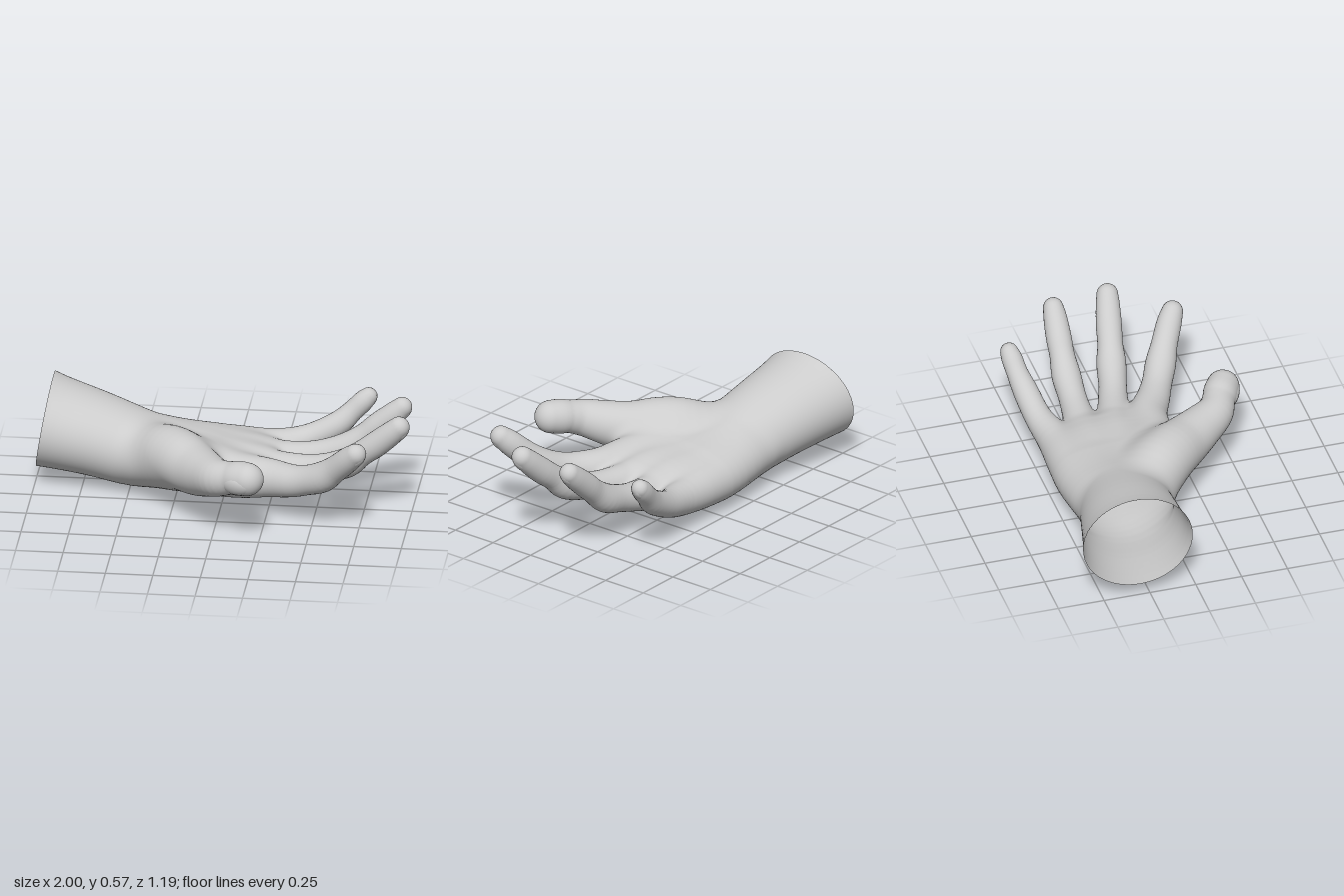
import * as THREE from 'three';

// Each limb is a chain of [x, y, z, radius] joints; neighbouring limbs melt together.
const FINGERS = {
  littleFinger: [
    [-0.42, 0.18, -0.32, 0.1], [-0.18, 0.162, -0.365, 0.118], [0.02, 0.16, -0.378, 0.115], [0.24, 0.172, -0.397, 0.093],
    [0.4, 0.208, -0.437, 0.072], [0.55, 0.28, -0.463, 0.066], [0.63, 0.35, -0.485, 0.056], [0.685, 0.404, -0.497, 0.055],
    [0.715, 0.433, -0.504, 0.047]],
  ringFinger: [
    [-0.42, 0.18, -0.25, 0.1], [-0.15, 0.162, -0.26, 0.126], [0.1, 0.166, -0.245, 0.117], [0.27, 0.173, -0.235, 0.096],
    [0.42, 0.197, -0.225, 0.078], [0.53, 0.226, -0.219, 0.073], [0.64, 0.266, -0.214, 0.077], [0.73, 0.335, -0.21, 0.066],
    [0.8, 0.398, -0.207, 0.067], [0.88, 0.467, -0.202, 0.062], [0.926, 0.51, -0.2, 0.053]],
  middleFinger: [
    [-0.42, 0.19, -0.19, 0.1], [-0.15, 0.176, -0.13, 0.126], [0.1, 0.181, -0.085, 0.117], [0.27, 0.188, -0.06, 0.097],
    [0.42, 0.207, -0.025, 0.08], [0.54, 0.236, 0.008, 0.074], [0.66, 0.28, 0.037, 0.078], [0.74, 0.345, 0.055, 0.067],
    [0.82, 0.409, 0.072, 0.068], [0.9, 0.481, 0.09, 0.063], [0.943, 0.523, 0.1, 0.056]],
  indexFinger: [
    [-0.42, 0.2, -0.14, 0.1], [-0.15, 0.211, -0.01, 0.131], [0.08, 0.202, 0.073, 0.12], [0.25, 0.21, 0.112, 0.103],
    [0.38, 0.228, 0.183, 0.087], [0.47, 0.255, 0.23, 0.079], [0.56, 0.296, 0.275, 0.081], [0.63, 0.36, 0.315, 0.07],
    [0.705, 0.438, 0.364, 0.066], [0.748, 0.485, 0.396, 0.056]],
  thumb: [
    [-0.44, 0.225, -0.13, 0.12], [-0.3, 0.265, -0.01, 0.155], [-0.21, 0.281, 0.087, 0.153], [-0.12, 0.278, 0.195, 0.137],
    [-0.05, 0.295, 0.3, 0.118], [0.022, 0.322, 0.407, 0.098], [0.1, 0.345, 0.454, 0.087], [0.145, 0.355, 0.478, 0.091],
    [0.19, 0.362, 0.504, 0.087]],
};
const FOREARM = [
  [-1.2, 0.365, -0.322, 0.283], [-0.96, 0.311, -0.3, 0.241], [-0.7, 0.259, -0.264, 0.216],
  [-0.47, 0.204, -0.23, 0.197], [-0.33, 0.188, -0.235, 0.172], [-0.15, 0.177, -0.24, 0.12]];
const PALM = [[-0.44, 0.19, -0.21, 0.1], [-0.28, 0.182, -0.2, 0.122], [-0.1, 0.176, -0.19, 0.124], [0.1, 0.181, -0.165, 0.115],
  [0.2, 0.187, -0.15, 0.092]];

// Smooth a chain and turn it into tapered segments; wide flattens it across z
function makeLimb(joints, wide = 1) {
  const path = new THREE.CatmullRomCurve3(joints.map(j => new THREE.Vector3(j[0], j[1], j[2] / wide)), false, 'catmullrom');
  const girth = new THREE.CatmullRomCurve3(joints.map(j => new THREE.Vector3(j[3], 0, 0)), false, 'catmullrom');
  const n = (joints.length - 1) * 4;
  const segments = [];
  for (let i = 0; i < n; i++) {
    const a = path.getPoint(i / n), d = path.getPoint((i + 1) / n).sub(a);
    const ra = girth.getPoint(i / n).x, dr = girth.getPoint((i + 1) / n).x - ra;
    const len2 = d.lengthSq();
    const lean = dr / Math.sqrt(Math.max(1e-8, len2 - dr * dr)) / Math.sqrt(len2);
    segments.push({ ax: a.x, ay: a.y, az: a.z, dx: d.x, dy: d.y, dz: d.z, len2, r: ra, dr, lean });
  }
  return { segments, wide };
}

// Distance to the nearest tapered segment, measured square to its slanted side
function limbDistance({ segments, wide }, x, y, z) {
  let best = Infinity;
  for (const s of segments) {
    const px = x - s.ax, py = y - s.ay, pz = z / wide - s.az;
    const t0 = (px * s.dx + py * s.dy + pz * s.dz) / s.len2;
    const h = Math.sqrt(Math.max(0, px * px + py * py + pz * pz - t0 * t0 * s.len2));
    const t = Math.min(1, Math.max(0, t0 + h * s.lean));
    best = Math.min(best, Math.sqrt(h * h + (t - t0) * (t - t0) * s.len2) - s.r - t * s.dr);
  }
  return best;
}

// Soft union of the limbs: broad blends over the palm, tight ones at the finger webs
function makeField(limbs) {
  return (x, y, z) => {
    const k = Math.min(0.08, Math.max(0.04, 0.074 - 0.08 * x));
    let d = Infinity;
    for (const limb of limbs) {
      const e = limbDistance(limb, x, y, z);
      const h = Math.max(0, k - Math.abs(d - e));
      d = Math.min(d, e) - (h * h) / (4 * k);
    }
    return d;
  };
}

// Wrap the field in a quad skin; the first grid layer leaves the slanted open cuff
function skinGeometry(field) {
  const step = 0.015, n = [133, 48, 90], origin = [-1 - step / 2, -0.06, -0.67];
  const slant = y => 0.163 * (y - 0.07);
  const stride = [1, n[0], n[0] * n[1]];
  const at = (i, j, k) => {
    const y = origin[1] + j * step;
    return [origin[0] + i * step + slant(y), y, origin[2] + k * step];
  };
  const value = new Float32Array(n[0] * n[1] * n[2]);
  const eachPoint = fn => {
    for (let k = 0; k < n[2] - 1; k++)
      for (let j = 0; j < n[1] - 1; j++)
        for (let i = 0; i < n[0] - 1; i++) fn(i, j, k, i + j * stride[1] + k * stride[2]);
  };
  for (let k = 0, p = 0; k < n[2]; k++)
    for (let j = 0; j < n[1]; j++)
      for (let i = 0; i < n[0]; i++) value[p++] = field(...at(i, j, k));

  const e = 0.006;
  const gradient = (x, y, z) => new THREE.Vector3(
    field(x + e, y, z) - field(x - e, y, z),
    field(x, y + e, z) - field(x, y - e, z),
    field(x, y, z + e) - field(x, y, z - e)).divideScalar(2 * e);

  // One vertex per cell that the surface crosses, pulled onto the surface
  const positions = [], normals = [], indices = [];
  const vertexOf = new Int32Array(value.length).fill(-1);
  eachPoint((i, j, k, p) => {
    let inside = 0;
    for (let c = 0; c < 8; c++)
      if (value[p + (c & 1) + ((c >> 1) & 1) * stride[1] + (c >> 2) * stride[2]] < 0) inside++;
    if (inside === 0 || inside === 8) return;
    const v = new THREE.Vector3(...at(i + 0.5, j + 0.5, k + 0.5));
    for (let s = 0; s < 3; s++) {
      const g = gradient(v.x, v.y, v.z);
      v.addScaledVector(g, -field(v.x, v.y, v.z) / Math.max(0.2, g.lengthSq()));
    }
    if (i === 0) v.x = -1 + slant(v.y);
    vertexOf[p] = positions.length / 3;
    positions.push(v.x, v.y, v.z);
    normals.push(...gradient(v.x, v.y, v.z).normalize().toArray());
  });

  // One quad around every grid edge that the surface crosses
  eachPoint((i, j, k, p) => {
    const cell = [i, j, k];
    for (let a = 0; a < 3; a++) {
      const b = (a + 1) % 3, c = (a + 2) % 3;
      const inA = value[p] < 0, inB = value[p + stride[a]] < 0;
      if (inA === inB || cell[b] === 0 || cell[c] === 0) continue;
      const q = [p - stride[b] - stride[c], p - stride[c], p, p - stride[b]].map(m => vertexOf[m]);
      if (!inA) q.reverse();
      indices.push(q[0], q[1], q[2], q[0], q[2], q[3]);
    }
  });

  const geometry = new THREE.BufferGeometry();
  geometry.setAttribute('position', new THREE.Float32BufferAttribute(positions, 3));
  geometry.setAttribute('normal', new THREE.Float32BufferAttribute(normals, 3));
  geometry.setIndex(indices);
  return geometry;
}

// Thin curved nail, sunk into the back of a fingertip
function makeNail(name, joints, back, material) {
  const [tip, before] = [joints.at(-1), joints.at(-2)];
  const r = tip[3];
  const along = new THREE.Vector3(tip[0] - before[0], tip[1] - before[1], tip[2] - before[2]).normalize();
  const out = back.clone().addScaledVector(along, -back.dot(along)).normalize();
  const side = new THREE.Vector3().crossVectors(out, along);
  const nail = new THREE.Mesh(new THREE.SphereGeometry(1, 24, 16), material);
  nail.name = name + 'Nail';
  nail.quaternion.setFromRotationMatrix(new THREE.Matrix4().makeBasis(side, out, along));
  nail.scale.set(0.68 * r, 0.5 * r, 1.1 * r);
  nail.position.set(tip[0], tip[1], tip[2]).addScaledVector(out, 0.61 * r).addScaledVector(along, -0.45 * r);
  return nail;
}

export function createModel() {
  const group = new THREE.Group();
  group.name = 'openHand';
  const material = new THREE.MeshStandardMaterial({ color: 0xcccccc, side: THREE.DoubleSide });

  // Forearm, palm and digits as one continuous skin
  const limbs = [makeLimb(FOREARM, 1.22), makeLimb(PALM, 1.95), ...Object.values(FINGERS).map(joints => makeLimb(joints))];
  const skin = new THREE.Mesh(skinGeometry(makeField(limbs)), material);
  skin.name = 'handAndForearm';
  group.add(skin);

  // Nails
  for (const [name, joints] of Object.entries(FINGERS)) {
    const back = name === 'thumb' ? new THREE.Vector3(0, -0.3, 1) : new THREE.Vector3(0, -1, 0);
    group.add(makeNail(name, joints, back, material));
  }
  return group;
}
